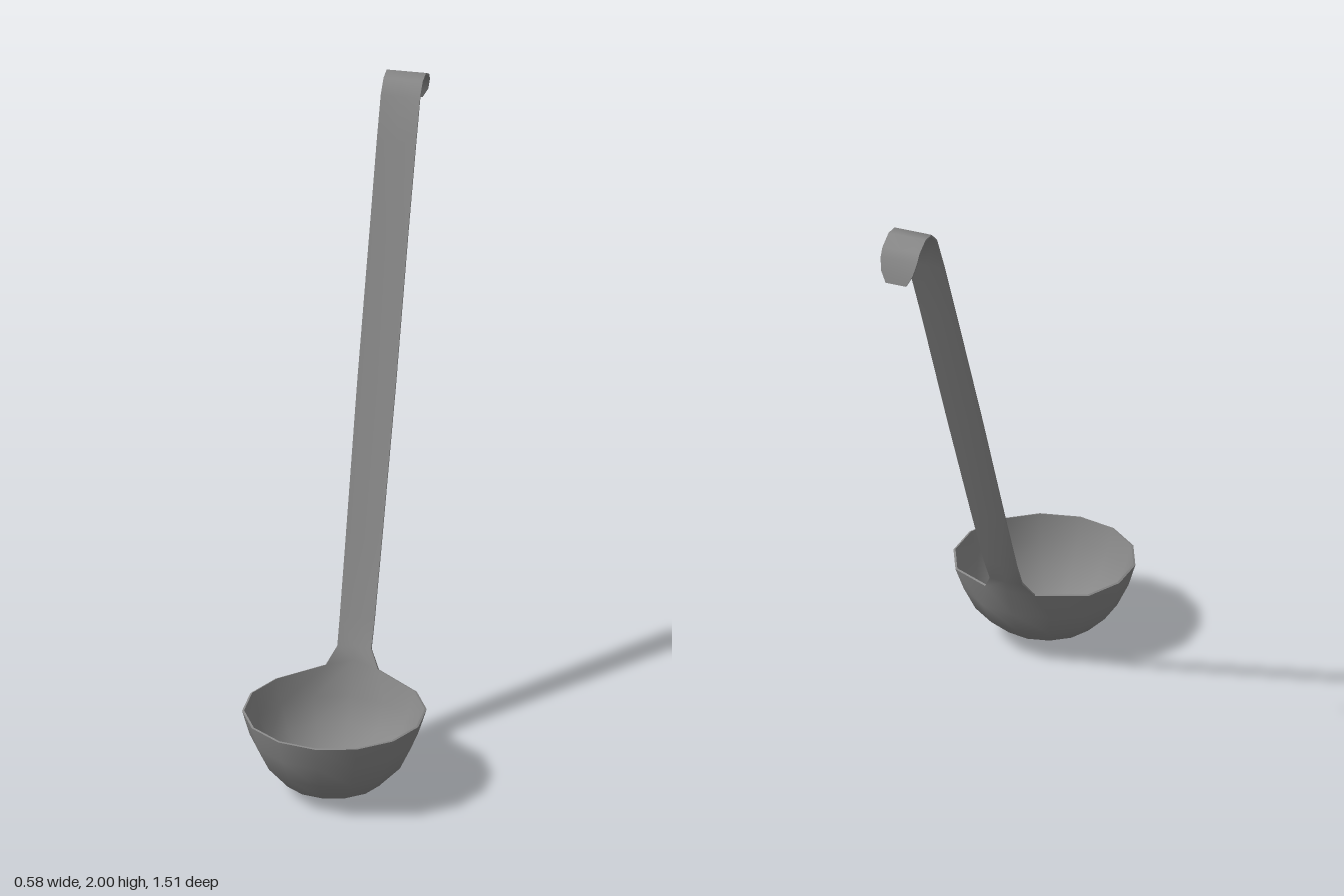
import * as THREE from 'three';

const SIDES = 14;
const THICKNESS = 0.007;

export function createModel() {
  const group = new THREE.Group();
  const material = new THREE.MeshStandardMaterial({ color: 0x888888 });
  const points = [], bowlFaces = [], handleFaces = [];
  const add = (x, y, z) => points.push(new THREE.Vector3(x, y, z)) - 1;

  // Bowl rings from rim to base: radius, height, centre z
  const rings = [
    [0.295, 0.268, 0.463],
    [0.27, 0.19, 0.47],
    [0.232, 0.112, 0.472],
    [0.162, 0.042, 0.485],
    [0.082, 0.008, 0.495],
  ];
  for (const [r, y, cz] of rings) {
    for (let j = 0; j < SIDES; j++) {
      const a = (j / SIDES) * Math.PI * 2;
      add(Math.sin(a) * r, y, cz + Math.cos(a) * r);
    }
  }
  const base = add(0, 0, 0.5);

  // Pull the back of the rim up into the neck of the handle
  points[6].set(0.087, 0.286, 0.182);
  points[7].set(0, 0.3, 0.157);
  points[8].set(-0.087, 0.286, 0.182);

  for (let i = 0; i < rings.length; i++) {
    for (let j = 0; j < SIDES; j++) {
      const k = (j + 1) % SIDES;
      const a = i * SIDES + j, b = i * SIDES + k;
      if (i === rings.length - 1) bowlFaces.push(a, base, b);
      else bowlFaces.push(a, a + SIDES, b + SIDES, a, b + SIDES, b);
    }
  }

  // Handle strip from neck to rounded hook tip: half width, height, z, hollow of the middle
  const stations = [
    [0.056, 0.34, 0.147, 0.007],
    [0.057, 0.42, 0.103, 0.004],
    [0.059, 0.65, 0.0, 0.003],
    [0.063, 1.11, -0.2, 0.003],
    [0.063, 1.57, -0.4, 0.003],
    [0.064, 1.82, -0.512, 0.002],
    [0.064, 1.95, -0.575, 0],
    [0.064, 1.987, -0.617, 0],
    [0.064, 1.992, -0.662, 0],
    [0.064, 1.967, -0.709, 0],
    [0.063, 1.943, -0.725, 0],
    [0.055, 1.905, -0.741, 0],
    [0.035, 1.868, -0.75, 0],
  ];
  let row = [6, 7, 8];
  for (const [w, y, z, hollow] of stations) {
    const next = [add(w, y, z), add(0, y, z - hollow), add(-w, y, z)];
    for (let j = 0; j < 2; j++) {
      handleFaces.push(row[j], row[j + 1], next[j + 1], row[j], next[j + 1], next[j]);
    }
    row = next;
  }

  // Smooth normals over the joined sheet, so the neck blends without a seam
  const outer = new THREE.BufferGeometry().setFromPoints(points);
  const faces = [...bowlFaces, ...handleFaces];
  outer.setIndex(faces);
  outer.computeVertexNormals();
  const normals = points.map((_, i) => new THREE.Vector3().fromBufferAttribute(outer.attributes.normal, i));
  const inside = points.map((p, i) => p.clone().addScaledVector(normals[i], -THICKNESS));

  // Each part gets an outer skin and a reversed inner skin
  const n = points.length;
  const skin = new THREE.BufferGeometry().setFromPoints([...points, ...inside]);
  const allNormals = [...normals, ...normals.map((v) => v.clone().negate())];
  skin.setAttribute('normal', new THREE.Float32BufferAttribute(allNormals.flatMap((v) => v.toArray()), 3));
  const addPart = (name, index) => {
    const geometry = skin.clone();
    const back = index.map((v) => v + n).reverse();
    geometry.setIndex([...index, ...back]);
    const mesh = new THREE.Mesh(geometry, material);
    mesh.name = name;
    group.add(mesh);
  };
  addPart('bowl', bowlFaces);
  addPart('handle', handleFaces);

  // Thin wall along every open edge of the sheet
  const edges = new Set();
  const eachEdge = (fn) => {
    for (let i = 0; i < faces.length; i += 3) {
      for (let j = 0; j < 3; j++) fn(faces[i + j], faces[i + ((j + 1) % 3)]);
    }
  };
  eachEdge((a, b) => edges.add(`${a},${b}`));
  const wall = [];
  eachEdge((a, b) => {
    if (edges.has(`${b},${a}`)) return;
    wall.push(points[b], points[a], inside[a], points[b], inside[a], inside[b]);
  });
  const wallGeometry = new THREE.BufferGeometry().setFromPoints(wall);
  wallGeometry.computeVertexNormals();
  const rim = new THREE.Mesh(wallGeometry, material);
  rim.name = 'rimEdge';
  group.add(rim);

  return group;
}
